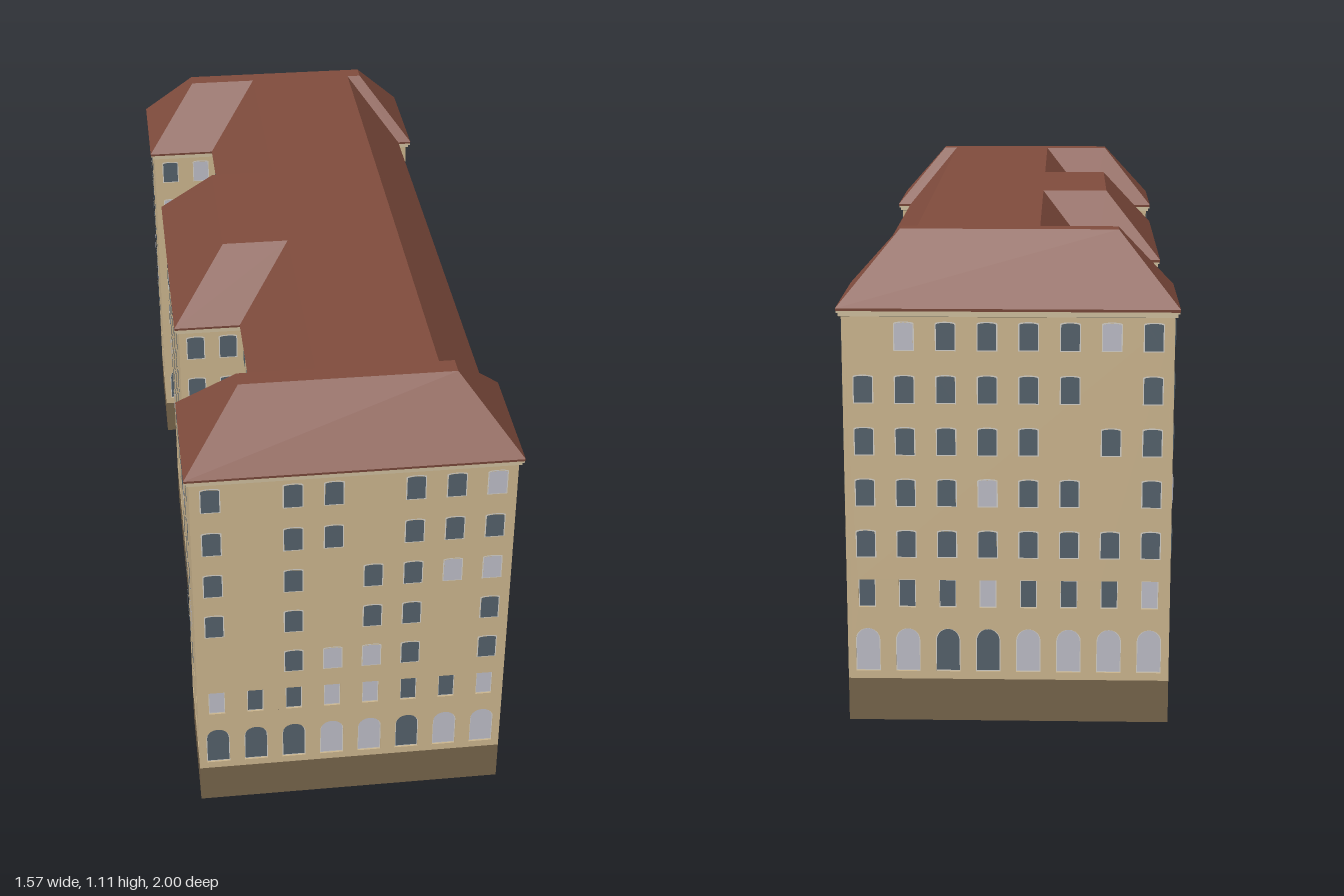
import * as THREE from 'three';
import { mergeGeometries } from 'three/addons/utils/BufferGeometryUtils.js';

const mat = (name, color, side = THREE.FrontSide) => {
  const m = new THREE.MeshStandardMaterial({ color, side });
  m.name = name;
  return m;
};

// Wall footprint (x, z), walked so that (-dz, dx) points outward
const FOOT = [
  [-0.93, 0.36], [-0.646, 0.36], [-0.646, 0.325], [0.646, 0.325], [0.646, 0.36], [0.93, 0.36],
  [0.93, -0.36], [0.646, -0.36], [0.646, -0.187], [0.305, -0.187], [0.305, -0.345],
  [-0.305, -0.345], [-0.305, -0.187], [-0.646, -0.187], [-0.646, -0.36], [-0.93, -0.36],
];
const N = FOOT.length;

// Window rows from the ground up: bottom, width, height, arch rise
const ROWS = [
  [0.118, 0.055, 0.102, 0.027], [0.27, 0.038, 0.065, 0],
  ...[0.39, 0.508, 0.625, 0.742, 0.86].map((y) => [y, 0.04, 0.06, 0.004]),
];

// Windows by facade, rows from the ground up: D dark, L light, . blank
const LAYOUT = {
  0: ['DLD', 'LLL', 'DDD', 'DDD', 'DLD', 'DDD', 'LDD'],
  2: ['DDLLLLDDLLLDDL', 'DDDLDDDDLDLDDD', 'DDDLDDDDDDDDDD', '..LLDDDDDDDDDD',
    'D.LLDDDDDDDDDD', 'D...DDDDDDDDDD', '.D..DDDDDDDDDD'],
  4: ['DDL', 'DDD', 'DDD', 'DDD', 'DDD', 'DDD', 'DDD'],
  5: ['LLDDLLLL', 'DDDLDDDL', 'DDDDDDDD', 'DDDLDD.D', 'DDDDD.DD', 'DDDDDD.D', '.LDDDDLD'],
  15: ['DDDLLDLL', 'LDDLLDDL', '..DLLD.D', 'D.D.DD.D', 'D.D.DDLL', 'D.DD.DDD', 'D.DD.DDL'],
};

function edge(i) {
  const a = FOOT[i % N], b = FOOT[(i + 1) % N];
  const dx = b[0] - a[0], dz = b[1] - a[1], len = Math.hypot(dx, dz);
  return { a, len, dx: dx / len, dz: dz / len };
}

// Footprint moved outward by d (all corners are square)
function offset(d) {
  return FOOT.map((p, i) => {
    const e = edge(i + N - 1), f = edge(i);
    return [p[0] - d * (e.dz + f.dz), p[1] + d * (e.dx + f.dx)];
  });
}

// Band of faces through rings given as [offset, height]
function loft(rings) {
  const pos = [];
  for (let r = 0; r + 1 < rings.length; r++) {
    const lo = offset(rings[r][0]), hi = offset(rings[r + 1][0]);
    const y0 = rings[r][1], y1 = rings[r + 1][1];
    for (let i = 0; i < N; i++) {
      const j = (i + 1) % N;
      const A = [lo[i][0], y0, lo[i][1]], B = [lo[j][0], y0, lo[j][1]];
      const C = [hi[j][0], y1, hi[j][1]], D = [hi[i][0], y1, hi[i][1]];
      pos.push(...A, ...B, ...C, ...A, ...C, ...D);
    }
  }
  const g = new THREE.BufferGeometry();
  g.setAttribute('position', new THREE.Float32BufferAttribute(pos, 3));
  g.computeVertexNormals();
  return g;
}

// Window outline centred on x; grow widens it on every side
function opening(x, [y, w, h, rise], grow = 0) {
  const s = new THREE.Shape();
  const r = w / 2 + grow, b = y - grow, t = y + h + grow;
  s.moveTo(x - r, b);
  s.lineTo(x + r, b);
  s.lineTo(x + r, t - rise);
  if (rise > 0) s.absellipse(x, t - rise, r, rise, 0, Math.PI, false);
  else s.lineTo(x - r, t);
  s.closePath();
  return s;
}

function plate(shape, z) {
  const g = new THREE.ShapeGeometry(shape, 5);
  g.translate(0, 0, z);
  return g;
}

// Thin ring around a window
function frame(x, row, outer, inner, z) {
  const s = opening(x, row, outer);
  s.holes.push(opening(x, row, inner));
  return plate(s, z);
}

export function createModel() {
  const wallMat = mat('sand plaster', 0xcab48d);
  const plinthMat = mat('brown plinth', 0x75634a, THREE.DoubleSide);
  const roofMat = mat('red tile', 0x804c3d, THREE.DoubleSide);
  const trimMat = mat('pale trim', 0xcdbd9c);
  const frameMat = mat('off-white frame', 0xd2cec6);
  const darkMat = mat('dark glass', 0x53606a, THREE.DoubleSide);
  const lightMat = mat('light glass', 0xbbbbc5, THREE.DoubleSide);

  let seed = 11;
  const rand = () => (seed = (seed * 16807) % 2147483647) / 2147483647;

  const model = new THREE.Group();
  const building = new THREE.Group();
  building.name = 'building';
  building.rotation.y = 1.06;
  model.add(building);
  const add = (parent, name, geo, m) => {
    const mesh = new THREE.Mesh(geo, m);
    mesh.name = name;
    parent.add(mesh);
  };

  // Facades: lower two rows are real openings, upper five are applied windows
  for (let i = 0; i < N; i++) {
    const { a, len, dx, dz } = edge(i);
    const facade = new THREE.Group();
    facade.name = 'facade';
    facade.position.set(a[0], 0, a[1]);
    facade.rotation.y = Math.atan2(-dz, dx);
    building.add(facade);

    const wall = new THREE.Shape();
    wall.moveTo(0, 0.1);
    wall.lineTo(len, 0.1);
    wall.lineTo(len, 0.935);
    wall.lineTo(0, 0.935);
    wall.closePath();

    const dark = [], light = [], frames = [];
    const cols = Math.max(0, Math.round((len - 0.02) / 0.09));
    for (let c = 0; c < cols; c++) {
      const x = (c + 0.5) * len / cols;
      ROWS.forEach((row, r) => {
        const lower = r < 2;
        const kind = LAYOUT[i] ? LAYOUT[i][r][c] : rand() < (lower ? 0.35 : 0.12) ? 'L' : 'D';
        if (kind === '.') return;
        if (lower) wall.holes.push(opening(x, row));
        (kind === 'L' ? light : dark).push(plate(opening(x, row), lower ? -0.006 : 0.004));
        frames.push(lower ? frame(x, row, 0, -0.002, -0.004) : frame(x, row, 0.0025, 0, 0.003));
      });
    }
    const wallGeo = new THREE.ExtrudeGeometry(wall, { depth: 0.01, bevelEnabled: false, curveSegments: 5 });
    wallGeo.translate(0, 0, -0.01);
    add(facade, 'wall', wallGeo, wallMat);
    if (dark.length) add(facade, 'darkWindows', mergeGeometries(dark), darkMat);
    if (light.length) add(facade, 'lightWindows', mergeGeometries(light), lightMat);
    if (frames.length) add(facade, 'windowFrames', mergeGeometries(frames), frameMat);
  }

  // Plinth, open underneath
  add(building, 'plinth', loft([[0, 0], [0, 0.1]]), plinthMat);

  // Stepped cornice
  add(building, 'cornice', loft([[0, 0.932], [0.006, 0.934], [0.006, 0.942], [0.01, 0.942], [0.01, 0.946]]), trimMat);

  // Hipped roof with a flat crown
  add(building, 'roofSlopes', loft([[0.01, 0.946], [0.011, 0.952], [-0.12, 1.105]]), roofMat);
  const crown = new THREE.ShapeGeometry(
    new THREE.Shape(offset(-0.12).map(([x, z]) => new THREE.Vector2(x, -z))));
  crown.rotateX(-Math.PI / 2);
  crown.translate(0, 1.105, 0);
  add(building, 'roofCrown', crown, roofMat);

  return model;
}
